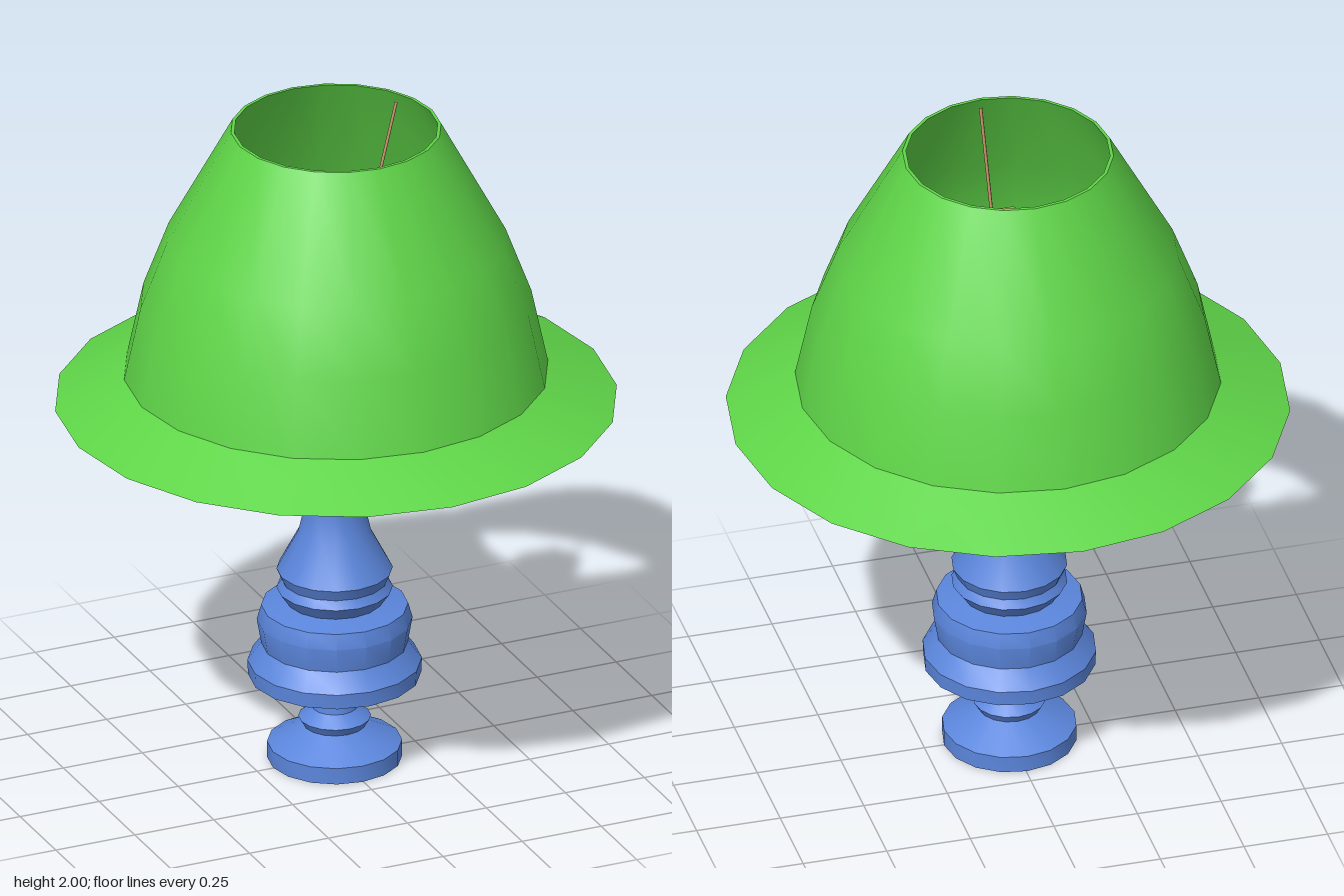
import * as THREE from 'three';
import { toCreasedNormals } from 'three/addons/utils/BufferGeometryUtils.js';

const material = (color, side = THREE.FrontSide) =>
  new THREE.MeshStandardMaterial({ color, side });

// Turned part from [radius, height] pairs, with sharp ridges kept crisp
function turned(name, profile, sides, mat, start = 0, crease = 0.55) {
  const points = profile.map(([r, y]) => new THREE.Vector2(r, y));
  const geometry = new THREE.LatheGeometry(points, sides, start);
  const mesh = new THREE.Mesh(toCreasedNormals(geometry, crease), mat);
  mesh.name = name;
  return mesh;
}

export function createModel() {
  const lamp = new THREE.Group();
  lamp.name = 'tableLamp';
  const blue = material(0x5b86dc);
  const green = material(0x5fd548, THREE.DoubleSide);
  const yellow = material(0xd8c95c);
  const brass = material(0xb5835a);

  // Turned baluster stand, foot to top collar
  const stand = turned('stand', [
    [0, 0], [0.195, 0], [0.195, 0.05], [0.09, 0.105],
    [0.105, 0.13], [0.065, 0.16], [0.06, 0.2],
    [0.13, 0.21], [0.25, 0.265], [0.252, 0.31], [0.212, 0.365], [0.225, 0.44],
    [0.212, 0.485], [0.14, 0.5],
    [0.168, 0.54], [0.153, 0.565], [0.168, 0.6],
    [0.105, 0.72], [0.082, 0.82], [0.1, 0.93],
    [0.168, 1.055], [0.135, 1.07], [0.135, 1.11], [0, 1.11],
  ], 16, blue);
  stand.position.set(-0.003, 0, -0.003);
  lamp.add(stand);

  // Slim neck and the bulb socket
  lamp.add(turned('neck', [[0.047, 1.1], [0.047, 1.42]], 8, blue, 0, 0.9));
  lamp.add(turned('socket', [
    [0, 1.415], [0.08, 1.415], [0.08, 1.465], [0, 1.475],
  ], 8, blue));

  // Six-sided bulb
  lamp.add(turned('bulb', [
    [0.045, 1.46], [0.06, 1.52], [0.107, 1.67], [0.1, 1.73],
    [0.06, 1.78], [0, 1.8],
  ], 6, yellow, Math.PI / 2, 1.1));

  // Thin-walled shade with a flared brim
  lamp.add(turned('shade', [
    [0.8, 1.138], [0.815, 1.14], [0.615, 1.23], [0.567, 1.455], [0.492, 1.655], [0.305, 2],
    [0.295, 2], [0.482, 1.65], [0.557, 1.452], [0.604, 1.222], [0.8, 1.138],
  ], 20, green));

  // Three wires carrying the shade from the socket
  const low = new THREE.Vector3(0, 1.44, 0.075);
  const high = new THREE.Vector3(0, 1.97, 0.298);
  for (let i = 0; i < 3; i++) {
    const wire = new THREE.Mesh(
      new THREE.TubeGeometry(new THREE.LineCurve3(low, high), 1, 0.005, 6), brass);
    wire.name = 'shadeWire' + (i + 1);
    wire.rotation.y = (i * Math.PI * 2) / 3;
    lamp.add(wire);
  }
  return lamp;
}
